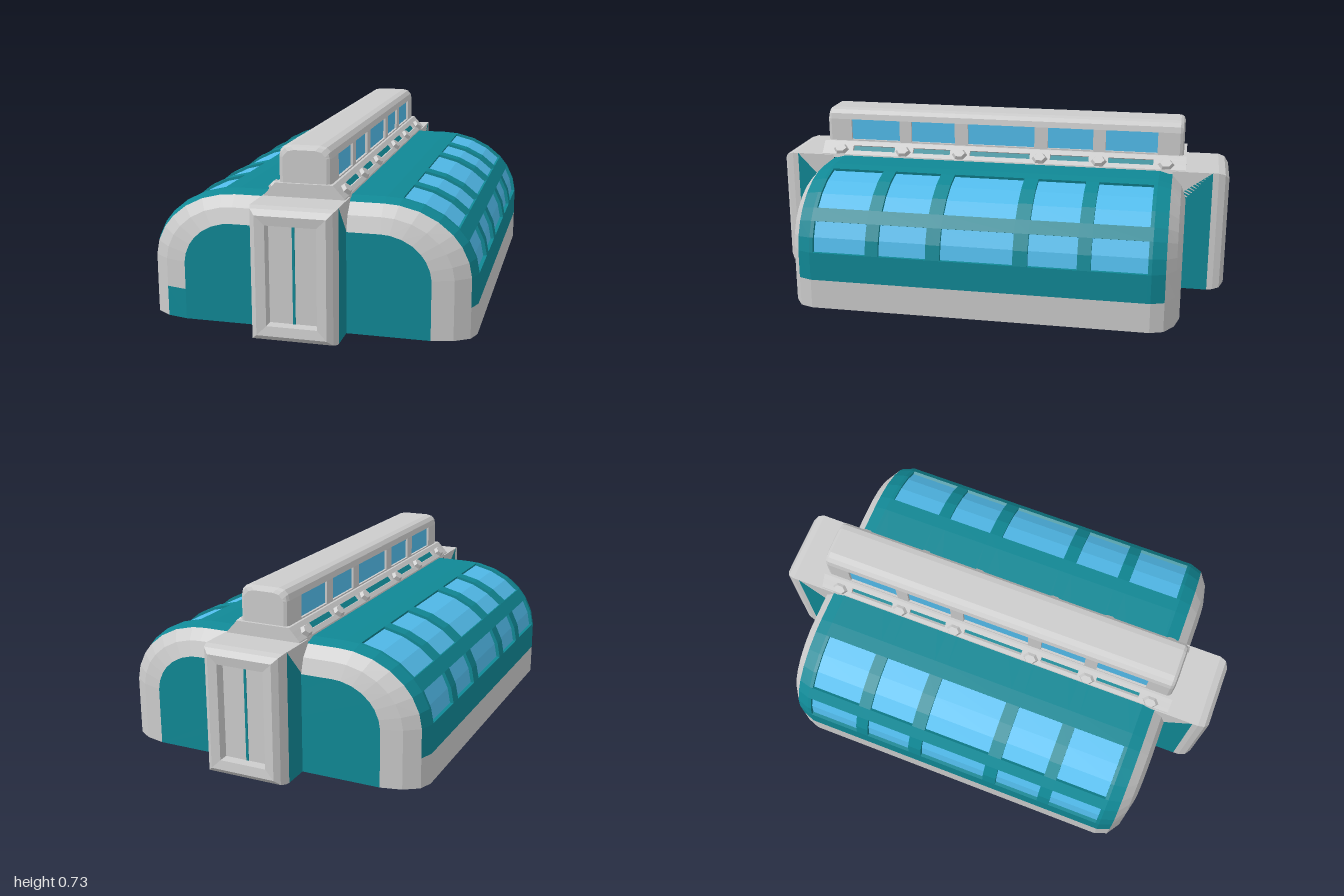
import * as THREE from 'three';

const GREY = 0xcccccc, TEAL = 0x108895, BLUE = 0x52bcec;
const materials = {};
const mat = (color) => (materials[color] ??= new THREE.MeshStandardMaterial({ color, flatShading: true }));

// Collects quads by colour and turns each colour into one named mesh.
class Panels {
  constructor() { this.sets = {}; }
  tri(color, ...pts) {
    const set = (this.sets[color] ??= []);
    pts.forEach((p) => set.push(...p));
  }
  quad(color, a, b, c, d) {
    this.tri(color, a, b, c);
    this.tri(color, a, c, d);
  }
  build(name, labels) {
    const group = new THREE.Group();
    group.name = name;
    for (const color in this.sets) {
      const geo = new THREE.BufferGeometry();
      geo.setAttribute('position', new THREE.Float32BufferAttribute(this.sets[color], 3));
      geo.computeVertexNormals();
      const mesh = new THREE.Mesh(geo, mat(Number(color)));
      mesh.name = labels[color];
      group.add(mesh);
    }
    return group;
  }
}

// Window bays along the length, shared by hull, clerestory and ledge.
const BAYS = [[-0.69, -0.465], [-0.41, -0.21], [-0.15, 0.15], [0.21, 0.41], [0.465, 0.69]];

// Lofts a mirrored section along z. half(inset) lists [x, y] from the +x foot to the top;
// ends lists [z, inset] from the middle outward; rows are the segments opened in each bay.
function shell({ half, ends, rows, trim = 0, recess, pane, colorAt, capColor }) {
  const out = new Panels();
  const bays = BAYS.map(([a, b]) => [a + trim, b - trim]);
  const stations = [
    ...ends.map(([z, i]) => [-z, i]).reverse(),
    ...bays.flat().map((z) => [z, 0]),
    ...ends,
  ];
  const ring = (z, inset) => {
    const h = half(inset);
    return [...h, ...h.map(([x, y]) => [-x, y]).reverse()].map(([x, y]) => [x, y, z]);
  };
  const rings = stations.map(([z, i]) => ring(z, i));
  const last = rings[0].length - 1;
  const open = (j) => rows.includes(j) || rows.includes(last - 1 - j);
  for (let i = 0; i < rings.length - 1; i++) {
    const A = rings[i], B = rings[i + 1];
    const isBay = bays.some(([a]) => a === stations[i][0]);
    const a = ring(stations[i][0], recess), b = ring(stations[i + 1][0], recess);
    for (let j = 0; j < last; j++) {
      if (!isBay || !open(j)) {
        out.quad(colorAt(i, j, rings.length - 2, last - 1), A[j], A[j + 1], B[j + 1], B[j]);
        continue;
      }
      // sunken pane and its reveals
      const c = colorAt(i, j, rings.length - 2, last - 1), k = j + 1;
      out.quad(pane, a[j], a[k], b[k], b[j]);
      out.quad(c, A[j], A[k], a[k], a[j]);
      out.quad(c, B[k], B[j], b[j], b[k]);
      if (!open(j - 1)) out.quad(c, A[j], a[j], b[j], B[j]);
      if (!open(k)) out.quad(c, B[k], b[k], a[k], A[k]);
    }
    out.quad(capColor, A[last], A[0], B[0], B[last]); // underside
  }
  const back = rings[0], front = rings[rings.length - 1];
  for (let j = 1; j < last; j++) {
    out.tri(capColor, front[0], front[j], front[j + 1]);
    out.tri(capColor, back[0], back[j + 1], back[j]);
  }
  return out;
}

// Barrel-roofed hull with grey skirt and grey rounded end bands
function makeHull() {
  const angles = [3, 15, 28, 38.7, 52, 66, 80, 90].map(THREE.MathUtils.degToRad);
  return shell({
    half: (i) => [
      [0.665 - i, 0], [0.665 - i, 0.125],
      ...angles.map((t) => [0.3 + (0.365 - i) * Math.cos(t), 0.23 + (0.3 - i * 0.73) * Math.sin(t)]),
    ],
    ends: [[0.705, 0], [0.76, 0.02], [0.8, 0.08], [0.82, 0.165]],
    rows: [2, 3, 5, 6, 7],
    recess: 0.015,
    pane: BLUE,
    capColor: TEAL,
    colorAt: (i, j, iMax, jMax) => {
      if (i === iMax && j === jMax) return TEAL; // odd corner panel at the front
      const endBand = i < 2 || i > iMax - 2;
      return endBand || j === 0 || j === jMax ? GREY : TEAL;
    },
  }).build('hull', { [TEAL]: 'hullShell', [GREY]: 'hullSkirtAndBands', [BLUE]: 'hullWindows' });
}

// Raised roof lantern with side windows
function makeClerestory() {
  const profile = [[0.105, 0.575], [0.105, 0.592], [0.105, 0.685], [0.1, 0.71], [0.085, 0.726], [0.06, 0.732]];
  return shell({
    half: (i) => profile.map(([x, y]) => [x - i, y - (y > 0.69 ? i : 0)]),
    ends: [[0.785, 0], [0.797, 0.006], [0.803, 0.018]],
    rows: [1],
    recess: 0.01,
    pane: BLUE,
    capColor: GREY,
    colorAt: () => GREY,
  }).build('clerestory', { [GREY]: 'clerestoryBody', [BLUE]: 'clerestoryWindows' });
}

// Sloping ledge under the lantern with sunken slots and brackets
function makeLedge() {
  const profile = [[0.165, 0.52], [0.161, 0.536], [0.147, 0.551], [0.13, 0.57], [0.115, 0.586]];
  const ledge = shell({
    half: (i) => profile.map(([x, y]) => [x - i, y - i * 0.5]),
    ends: [[0.815, 0]],
    rows: [2],
    trim: 0.015,
    recess: 0.012,
    pane: TEAL,
    capColor: GREY,
    colorAt: () => GREY,
  }).build('roofLedge', { [GREY]: 'ledgeRails', [TEAL]: 'ledgeSlots' });
  for (const side of [-1, 1]) {
    for (const z of [-0.73, -0.44, -0.18, 0.18, 0.44, 0.73]) {
      const bracket = new THREE.Mesh(new THREE.CylinderGeometry(0.026, 0.042, 0.024, 6), mat(GREY));
      bracket.name = 'ledgeBracket';
      bracket.position.set(side * 0.146, 0.556, z);
      bracket.rotation.z = -side * Math.PI / 4;
      bracket.scale.x = 0.75;
      ledge.add(bracket);
    }
  }
  return ledge;
}

// Entrance porch facing +z
function makePorch() {
  const p = new Panels();
  const rect = (x, y0, y1, z) => [[-x, y0, z], [x, y0, z], [x, y1, z], [-x, y1, z]];
  const rings = [
    rect(0.168, 0, 0.532, 0.93), rect(0.168, 0.004, 0.532, 0.955), rect(0.16, 0.012, 0.524, 0.983),
    rect(0.138, 0.032, 0.502, 1), rect(0.1, 0.07, 0.465, 0.995), rect(0.098, 0.072, 0.463, 0.955),
  ];
  for (let i = 0; i < rings.length - 1; i++) {
    const A = rings[i], B = rings[i + 1];
    for (let k = 0; k < 4; k++) p.quad(GREY, A[k], A[(k + 1) % 4], B[(k + 1) % 4], B[k]);
  }
  p.quad(GREY, ...rings[5]); // door leaves
  // side walls with a grey gusset under the roof
  const [bl, br, tr, tl] = rings[0];
  const at = (x, y, z) => [x, y, z];
  const X = 0.168, zi = 0.76, zo = 0.815;
  for (const s of [1, -1]) {
    const face = (color, ...pts) => {
      const c = pts.map(([y, z]) => at(s * X, y, z));
      if (s < 0) c.reverse();
      for (let k = 1; k < c.length - 1; k++) p.tri(color, c[0], c[k], c[k + 1]);
    };
    face(TEAL, [0, 0.93], [0, zi], [0.41, zi], [0.41, zo], [0.532, 0.93]);
    face(GREY, [0.41, zi], [0.532, zi], [0.532, 0.93], [0.41, zo]);
  }
  p.quad(GREY, tl, tr, at(X, 0.532, zi), at(-X, 0.532, zi));
  p.quad(TEAL, br, bl, at(-X, 0, zi), at(X, 0, zi));
  const porch = p.build('porch', { [GREY]: 'porchFrame', [TEAL]: 'porchWalls' });
  const seam = new THREE.Mesh(new THREE.BoxGeometry(0.01, 0.39, 0.006), mat(TEAL));
  seam.name = 'doorSeam';
  seam.position.set(0, 0.267, 0.955);
  porch.add(seam);
  return porch;
}

export function createModel() {
  const model = new THREE.Group();
  model.name = 'barrelRoofedBuilding';
  const frontPorch = makePorch(), backPorch = makePorch();
  frontPorch.name = 'frontPorch';
  backPorch.name = 'backPorch';
  backPorch.rotation.y = Math.PI;
  model.add(makeHull(), makeLedge(), makeClerestory(), frontPorch, backPorch);
  return model;
}
